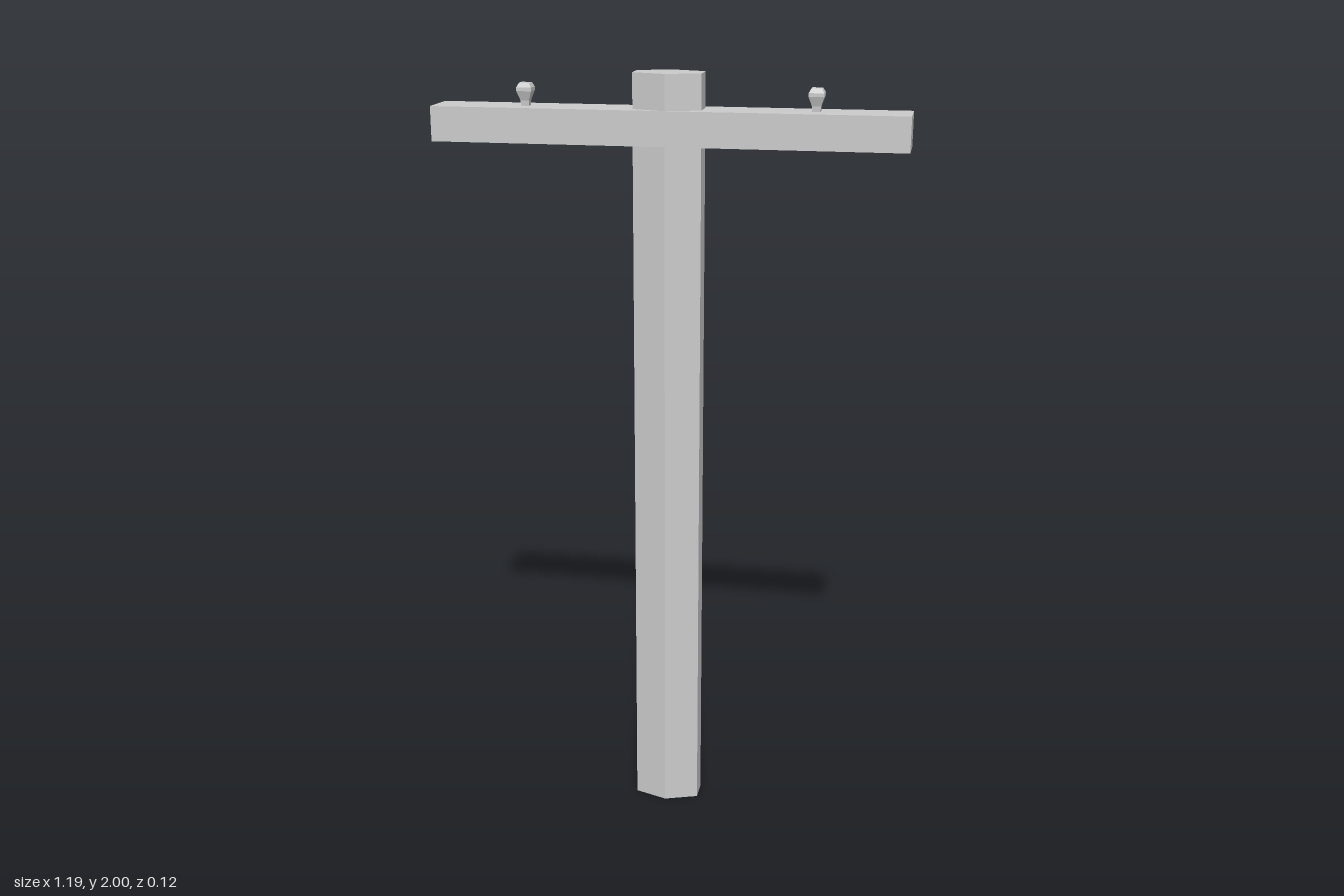
import * as THREE from 'three';

const material = new THREE.MeshStandardMaterial({ color: 0xcccccc, flatShading: true });

function addMesh(group, name, geometry, x, y) {
  const mesh = new THREE.Mesh(geometry, material);
  mesh.name = name;
  mesh.position.set(x, y, 0);
  group.add(mesh);
}

export function createModel() {
  const group = new THREE.Group();
  group.name = 'utilityPole';

  // Hexagonal pole, stretched sideways
  const pole = new THREE.CylinderGeometry(0.06, 0.06, 2, 6).scale(1.66, 1, 1);
  addMesh(group, 'pole', pole, 0, 1);

  // Crossarm through the pole near the top
  addMesh(group, 'crossarm', new THREE.BoxGeometry(1.194, 0.087, 0.12), 0, 1.868);

  // Four-sided insulators: half width and height, from the foot up
  const profile = [
    [0, 0], [0.01, 0], [0.011, 0.014], [0.019, 0.037], [0.019, 0.046], [0.013, 0.057], [0, 0.057],
  ].map(([w, y]) => new THREE.Vector2(w * Math.SQRT2, y));
  for (const side of [-1, 1]) {
    const insulator = new THREE.LatheGeometry(profile, 4, Math.PI / 4);
    addMesh(group, side > 0 ? 'leftInsulator' : 'rightInsulator', insulator, side * 0.365, 1.911);
  }
  return group;
}
